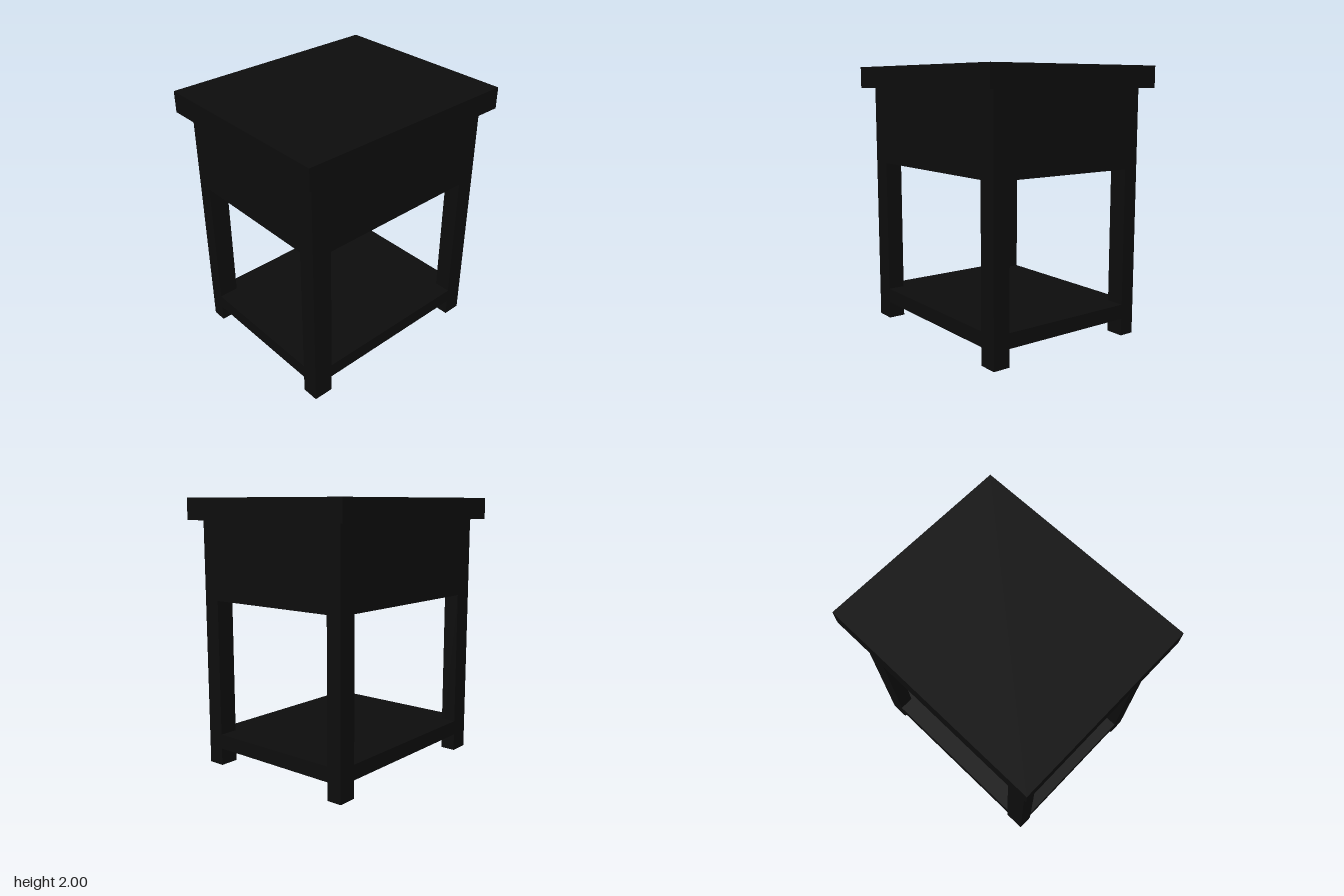
import * as THREE from 'three';

export function createModel() {
  const model = new THREE.Group();
  const material = new THREE.MeshStandardMaterial({ color: 0x0d0d0d });

  // Box given by its lower and upper limits on each axis
  function addBox(name, [x0, x1], [y0, y1], [z0, z1]) {
    const mesh = new THREE.Mesh(new THREE.BoxGeometry(x1 - x0, y1 - y0, z1 - z0), material);
    mesh.position.set((x0 + x1) / 2, (y0 + y1) / 2, (z0 + z1) / 2);
    mesh.name = name;
    model.add(mesh);
  }

  const bodyX = [-0.65, 0.65];
  const bodyZ = [-0.787, 0.787];

  // Overhanging top and closed cabinet below it
  addBox('tableTop', [-0.732, 0.732], [1.84, 2], [-0.867, 0.867]);
  addBox('cabinetBody', bodyX, [1.257, 1.84], bodyZ);

  // Leg spans: each side and end has its own slightly different thickness
  const legX = { Right: [-0.65, -0.535], Left: [0.52, 0.65] };
  const legZ = { front: [0.633, 0.787], back: [-0.787, -0.645] };
  for (const [end, z] of Object.entries(legZ)) {
    for (const [side, x] of Object.entries(legX)) {
      addBox(`${end}${side}Leg`, x, [0, 1.257], z);
    }
  }

  // Low shelf, flush with the outside of the legs
  addBox('lowerShelf', bodyX, [0.13, 0.24], bodyZ);

  return model;
}
